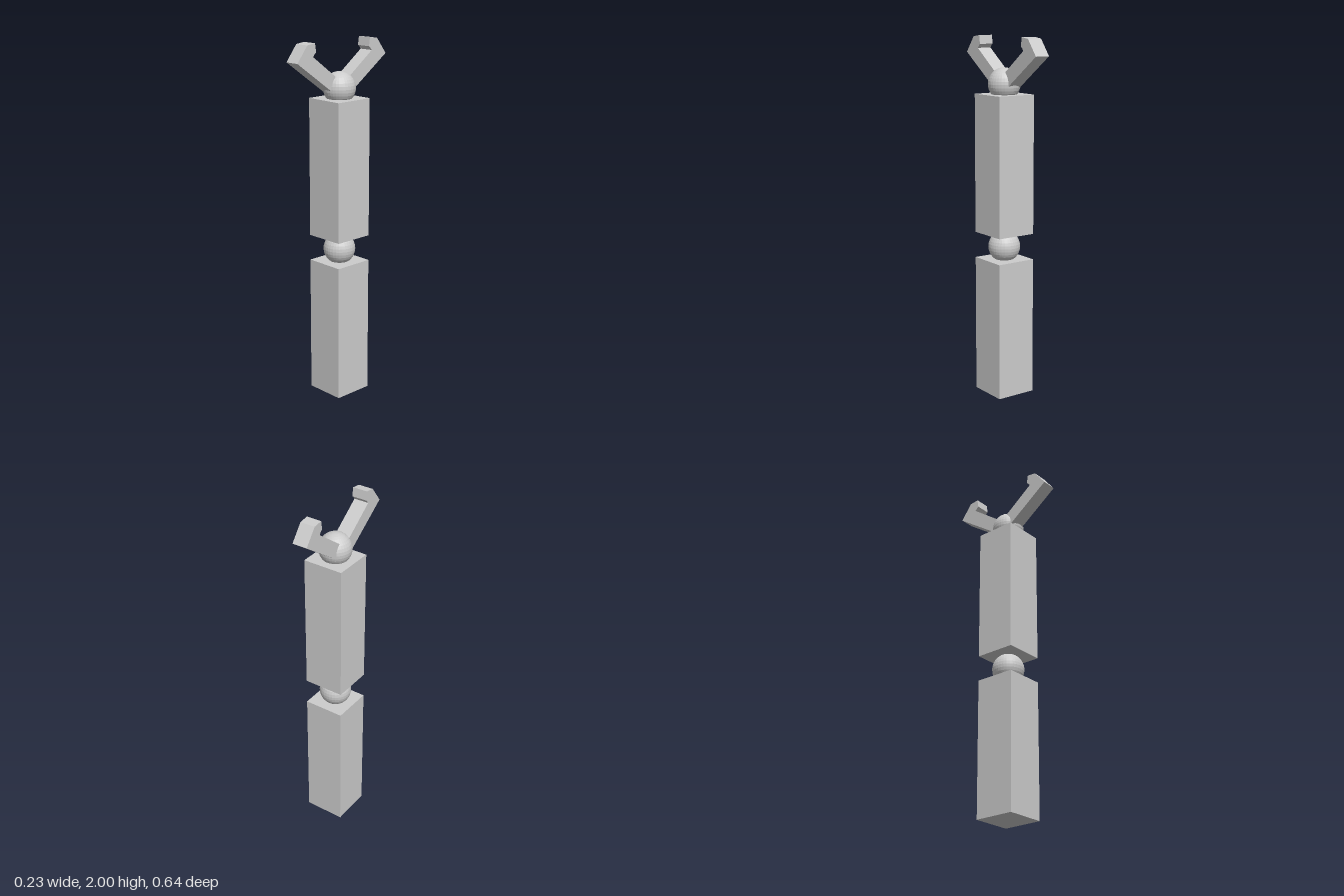
import * as THREE from 'three';

export function createModel() {
  const model = new THREE.Group();
  model.name = 'gripperArm';
  const grey = new THREE.MeshStandardMaterial({ color: 0xcccccc, flatShading: true });
  grey.name = 'grey';

  const add = (name, geometry, x, y, z) => {
    const mesh = new THREE.Mesh(geometry, grey);
    mesh.name = name;
    mesh.position.set(x, y, z);
    model.add(mesh);
    return mesh;
  };

  // Square arm segments, from y = bottom to y = top
  const segment = (name, bottom, top) =>
    add(name, new THREE.BoxGeometry(0.23, top - bottom, 0.23), 0, (bottom + top) / 2, 0);
  segment('lowerArm', 0, 0.775);
  segment('upperArm', 0.92, 1.69);

  // Ball joints
  const ball = new THREE.SphereGeometry(0.089, 32, 16);
  add('elbowJoint', ball, 0, 0.845, 0);
  add('wristJoint', ball, 0, 1.745, 0);

  // Hooked claw profile: outward distance, height
  const profile = [
    [0.03, 1.7], [0.32, 1.905], [0.252, 1.993], [0.198, 2], [0.191, 1.952],
    [0.2, 1.945], [0.212, 1.93], [0.053, 1.812], [0.005, 1.778],
  ].map(([u, v]) => new THREE.Vector2(u, v));
  const claw = new THREE.ExtrudeGeometry(new THREE.Shape(profile), {
    depth: 0.085, bevelEnabled: false,
  });

  // Two opposed claws, slightly off centre
  add('frontClaw', claw, 0.027, 0, 0).rotation.y = -Math.PI / 2;
  add('backClaw', claw, -0.054, 0, 0).rotation.y = Math.PI / 2;

  return model;
}
